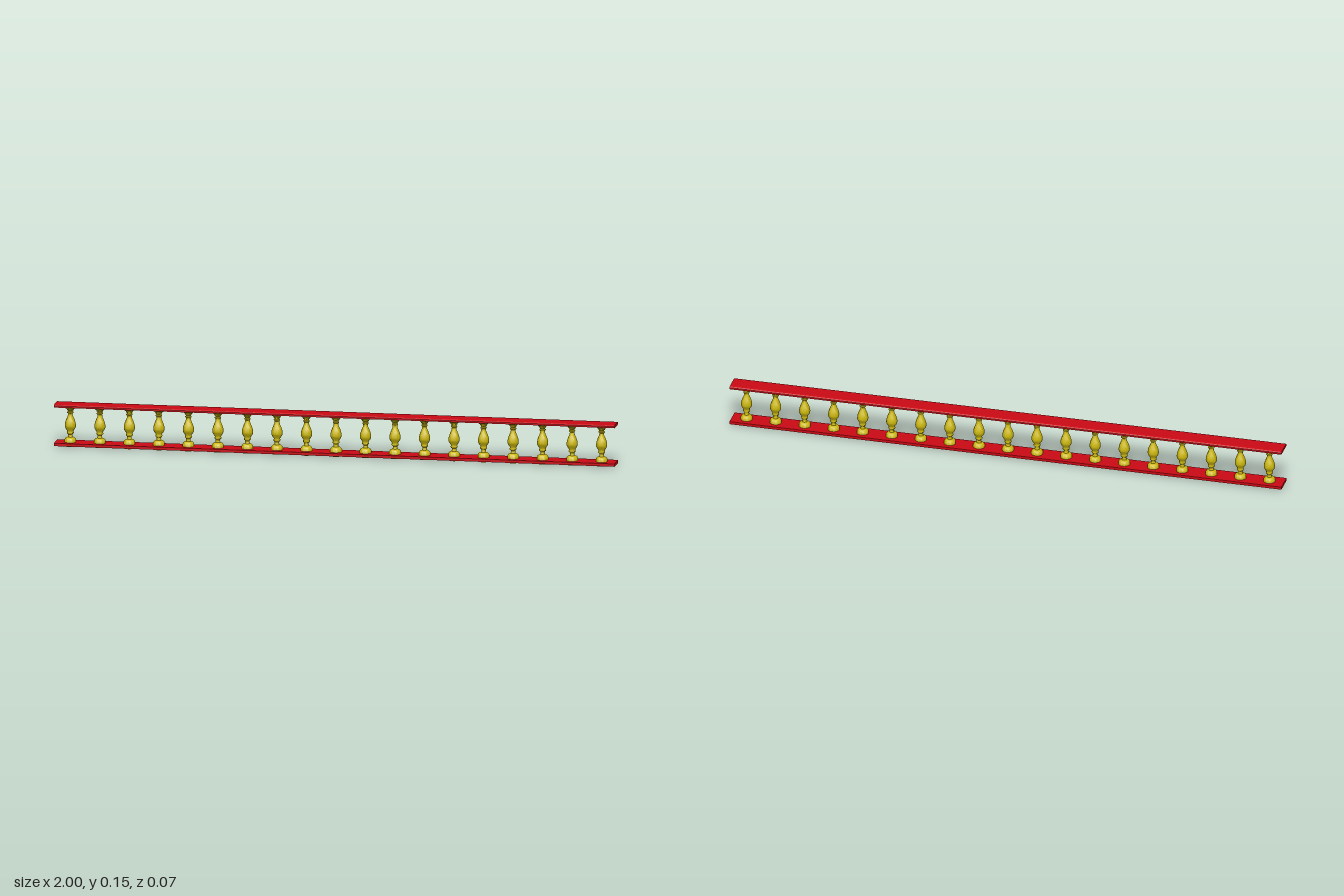
import * as THREE from 'three';
import { toCreasedNormals } from 'three/addons/utils/BufferGeometryUtils.js';

const LENGTH = 2, COUNT = 19;
const red = new THREE.MeshStandardMaterial({ color: 0xcc0a14 });
const yellow = new THREE.MeshStandardMaterial({ color: 0xccb80c });

// Rail: a half cross-section (z, y), mirrored and extruded along x
function rail(name, half) {
  const points = [...half, ...half.map(([z, y]) => [-z, y]).reverse()];
  const shape = new THREE.Shape(points.map(([z, y]) => new THREE.Vector2(z, y)));
  const geometry = new THREE.ExtrudeGeometry(shape, { depth: LENGTH, bevelEnabled: false });
  geometry.translate(0, 0, -LENGTH / 2).rotateY(Math.PI / 2);
  const mesh = new THREE.Mesh(geometry, red);
  mesh.name = name;
  return mesh;
}

// Turned baluster: foot, neck, ring, belly, upper ring and flared cap
function balusterGeometry() {
  const profile = [
    [0, 0], [0.0195, 0], [0.0205, 0.003], [0.0205, 0.024], [0.018, 0.028], [0.015, 0.031],
    [0.009, 0.033], [0.008, 0.036], [0.008, 0.043],
    [0.0115, 0.046], [0.0125, 0.049], [0.011, 0.053], [0.0115, 0.056],
    [0.016, 0.062], [0.019, 0.068], [0.0198, 0.074], [0.0188, 0.083], [0.0158, 0.093],
    [0.012, 0.102], [0.009, 0.109], [0.008, 0.117],
    [0.011, 0.119], [0.0115, 0.122], [0.009, 0.124], [0.009, 0.127], [0.0115, 0.129],
    [0.012, 0.132], [0.017, 0.136], [0.02, 0.139], [0.02, 0.143], [0, 0.143],
  ].map(([r, y]) => new THREE.Vector2(r, y));
  return toCreasedNormals(new THREE.LatheGeometry(profile, 20), 0.7);
}

export function createModel() {
  const group = new THREE.Group();
  group.name = 'balustrade';

  group.add(rail('bottomRail', [[0.036, 0.005], [0.036, 0.015]]));
  // Handrail with softened upper edges
  group.add(rail('handrail', [[0.036, 0.143], [0.036, 0.149], [0.032, 0.152], [0.025, 0.153]]));

  // Evenly spaced row of balusters
  const geometry = balusterGeometry();
  const step = LENGTH / COUNT;
  for (let i = 0; i < COUNT; i++) {
    const baluster = new THREE.Mesh(geometry, yellow);
    baluster.name = `baluster${i + 1}`;
    baluster.position.x = (i - (COUNT - 1) / 2) * step;
    group.add(baluster);
  }
  return group;
}
